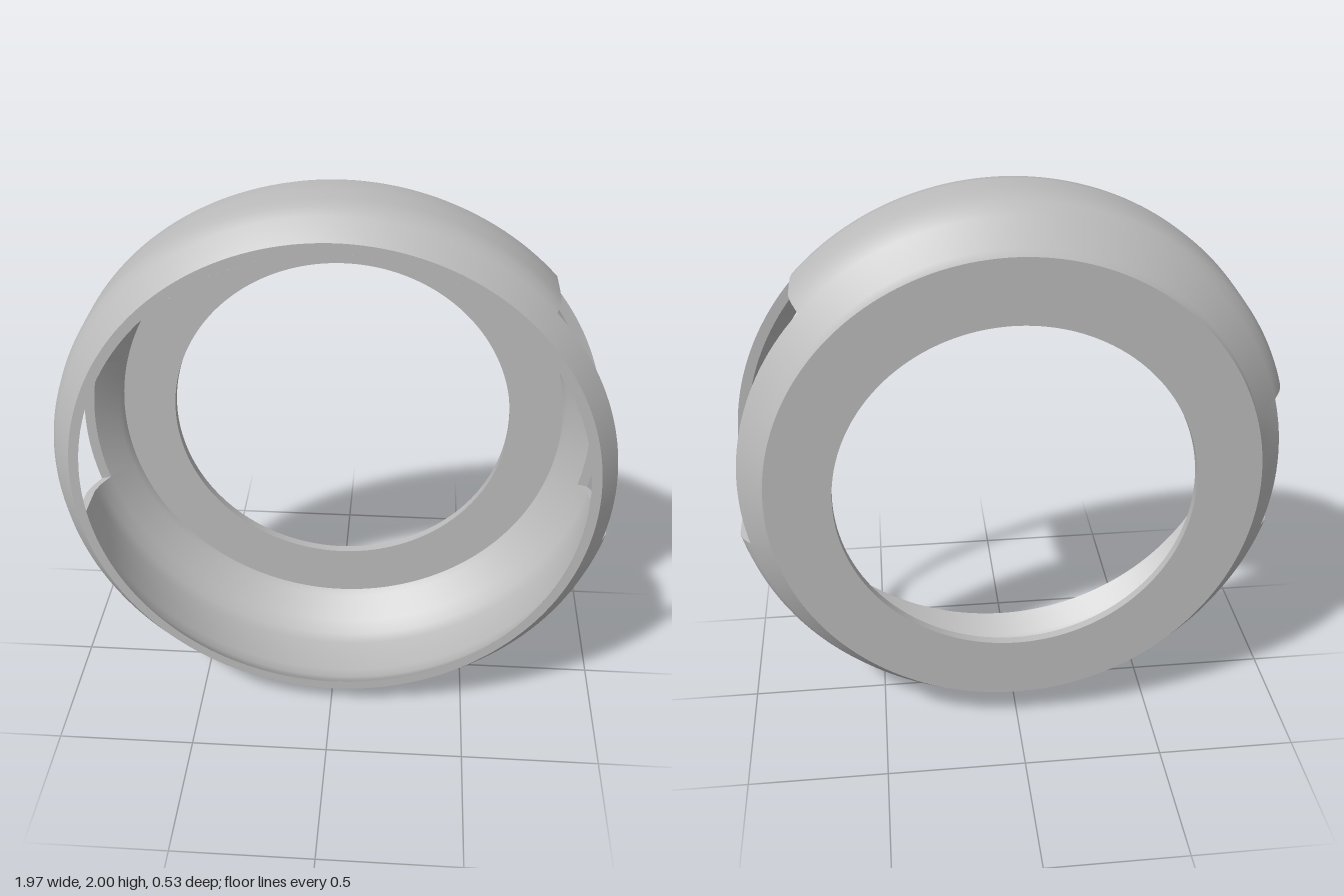
import * as THREE from 'three';

const R = Math.PI / 180;
const CENTRE = new THREE.Vector3(0.006, 1, 0);
const FRONT = 0.263, BACK = -0.263, FLOOR = -0.23;

// wall profiles as [radius, z], from back to front
const OUTER = [[0.86, BACK], [0.872, -0.22], [0.955, -0.14], [0.985, -0.095], [0.999, -0.055],
  [1, 0.02], [1, 0.1], [0.994, 0.15], [0.975, 0.19], [0.915, FRONT]];
const INNER = [[0.825, FLOOR], [0.84, -0.205], [0.918, -0.14], [0.95, -0.095], [0.964, -0.055],
  [0.966, 0.02], [0.966, 0.1], [0.959, 0.15], [0.938, 0.19], [0.88, FRONT]];

// side windows: angles in degrees from +x, and z range
const WINDOWS = [
  { name: 'leftWindow', a: -12.7, b: 43.2, z0: -0.14, z1: 0.19 },
  { name: 'rightWindow', a: 164.3, b: 195.7, z0: -0.14, z1: 0.11 },
];

// radius of a profile at height z
function radiusAt(profile, z) {
  for (let i = 1; i < profile.length; i++) {
    const [r0, za] = profile[i - 1], [r1, zb] = profile[i];
    if (z <= zb) return r0 + (r1 - r0) * Math.max(0, (z - za) / (zb - za));
  }
  return profile[profile.length - 1][0];
}

// part of a profile between two heights
function clip(profile, z0, z1) {
  const lo = Math.max(z0, profile[0][1]);
  return [[radiusAt(profile, lo), lo],
    ...profile.filter(([, z]) => z > lo + 1e-4 && z < z1 - 1e-4),
    [radiusAt(profile, z1), z1]];
}

export function createModel() {
  const group = new THREE.Group();
  const grey = new THREE.MeshStandardMaterial({ color: 0xbcbcbc, side: THREE.DoubleSide });
  grey.name = 'plain grey';

  function add(geometry, name) {
    const mesh = new THREE.Mesh(geometry, grey);
    mesh.name = name;
    mesh.position.copy(CENTRE);
    group.add(mesh);
  }

  // surface turned about the z axis between two angles
  function turn(points, a, b, name) {
    const g = new THREE.LatheGeometry(points.map(([r, z]) => new THREE.Vector2(r, z)),
      Math.ceil((b - a) / 2), (a + 90) * R, (b - a) * R);
    add(g.rotateX(Math.PI / 2), name);
  }

  // outer and inner skins between two heights
  function wall(z0, z1, a, b, name) {
    turn(clip(OUTER, z0, z1), a, b, name + 'Outside');
    turn(clip(INNER, z0, z1).reverse(), a, b, name + 'Inside');
  }

  // full-height wall between the windows
  const [left, right] = WINDOWS;
  wall(BACK, FRONT, left.b, right.a, 'upperWall');
  wall(BACK, FRONT, right.b, left.a + 360, 'lowerWall');

  for (const { name, a, b, z0, z1 } of WINDOWS) {
    // wall in front of and behind the window
    wall(BACK, z0, a, b, name + 'BackWall');
    wall(z1, FRONT, a, b, name + 'FrontWall');

    // long window edges
    turn([[radiusAt(OUTER, z0), z0], [radiusAt(INNER, z0), z0]], a, b, name + 'BackEdge');
    turn([[radiusAt(INNER, z1), z1], [radiusAt(OUTER, z1), z1]], a, b, name + 'FrontEdge');

    // radial window ends
    const outline = [...clip(OUTER, z0, z1), ...clip(INNER, z0, z1).reverse()];
    for (const angle of [a, b]) {
      const c = Math.cos(angle * R), s = Math.sin(angle * R);
      const end = new THREE.ShapeGeometry(
        new THREE.Shape(outline.map(([r, z]) => new THREE.Vector2(r, z))));
      end.applyMatrix4(new THREE.Matrix4().makeBasis(
        new THREE.Vector3(c, s, 0), new THREE.Vector3(0, 0, 1), new THREE.Vector3(s, -c, 0)));
      add(end, name + 'End');
    }
  }

  // front lip and back plate with its round hole
  turn([[0.915, FRONT], [0.88, FRONT]], 0, 360, 'frontLip');
  turn([[0.825, FLOOR], [0.63, FLOOR]], 0, 360, 'backPlateInside');
  turn([[0.63, FLOOR], [0.63, BACK]], 0, 360, 'holeEdge');
  turn([[0.63, BACK], [0.86, BACK]], 0, 360, 'backPlateOutside');

  return group;
}
